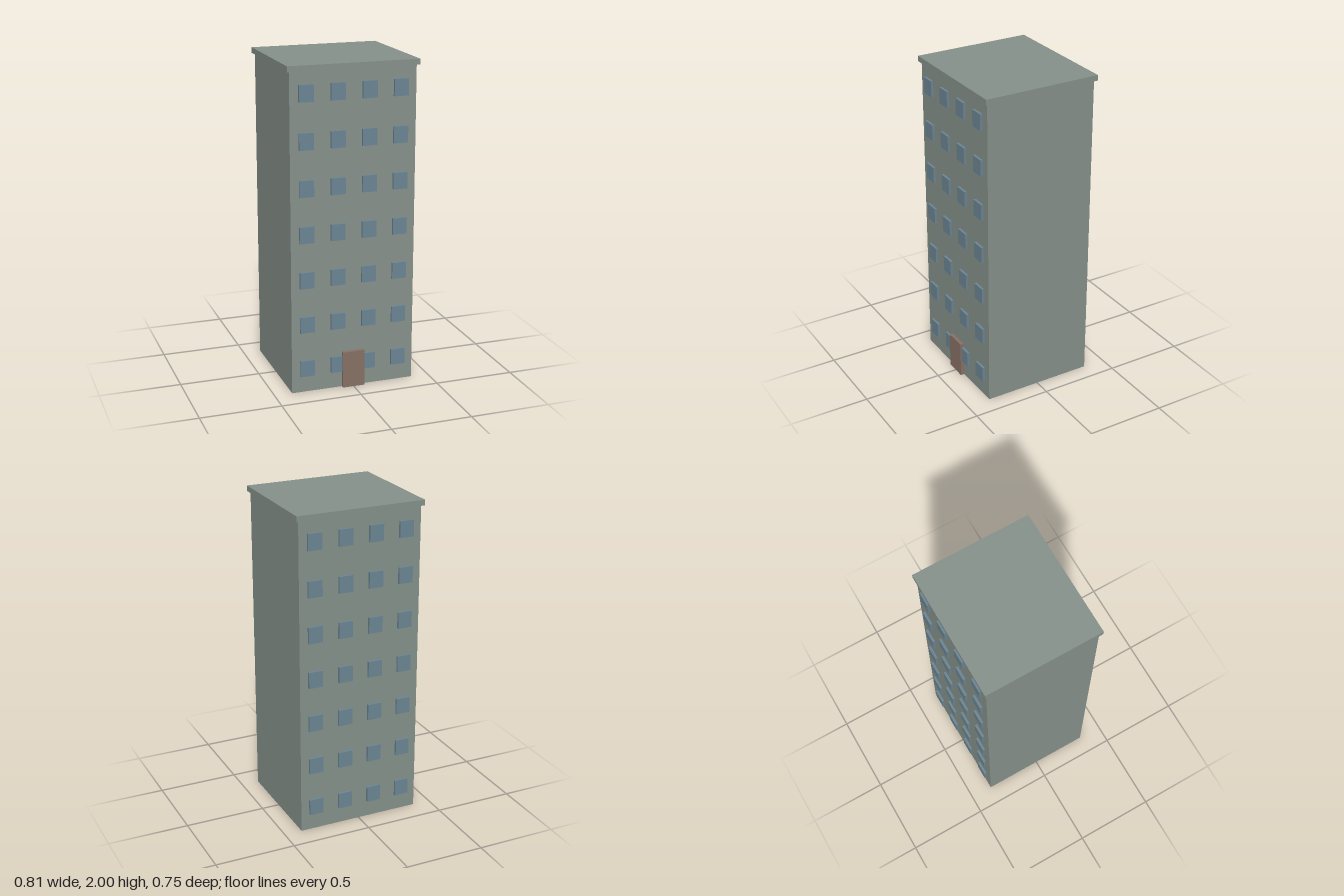
import * as THREE from 'three';

const wall = new THREE.MeshStandardMaterial({ name: 'wall grey', color: 0x86918b });
const glass = new THREE.MeshStandardMaterial({ name: 'window blue', color: 0x6b8593 });
const wood = new THREE.MeshStandardMaterial({ name: 'door brown', color: 0x877165 });

function box(name, material, w, h, d, x, y, z) {
  const mesh = new THREE.Mesh(new THREE.BoxGeometry(w, h, d), material);
  mesh.name = name;
  mesh.position.set(x, y, z);
  return mesh;
}

export function createModel() {
  const model = new THREE.Group();
  model.name = 'apartmentBlock';

  const height = 1.966, width = 0.778, depth = 0.707, centreZ = -0.005;

  // Main block and overhanging roof slab
  model.add(box('body', wall, width, height, depth, 0, height / 2, centreZ));
  model.add(box('roofSlab', wall, 0.81, 2 - height, 0.737, 0, (2 + height) / 2, centreZ));

  // Entrance door on the front
  model.add(box('door', wood, 0.14, 0.23, 0.03, 0, 0.115, 0.357));

  // Raised windows: seven floors of four, front and back
  const floors = 7, columns = 4;
  const floorHeight = height / floors, columnStep = width / columns;
  for (const side of [1, -1]) {
    const windows = new THREE.Group();
    windows.name = side > 0 ? 'frontWindows' : 'backWindows';
    for (let floor = 0; floor < floors; floor++) {
      for (let column = 0; column < columns; column++) {
        const x = (column - (columns - 1) / 2) * columnStep;
        const y = (floor + 0.547) * floorHeight;
        windows.add(box('window', glass, 0.089, 0.101, 0.03, x, y, centreZ + side * 0.3538));
      }
    }
    model.add(windows);
  }
  return model;
}
